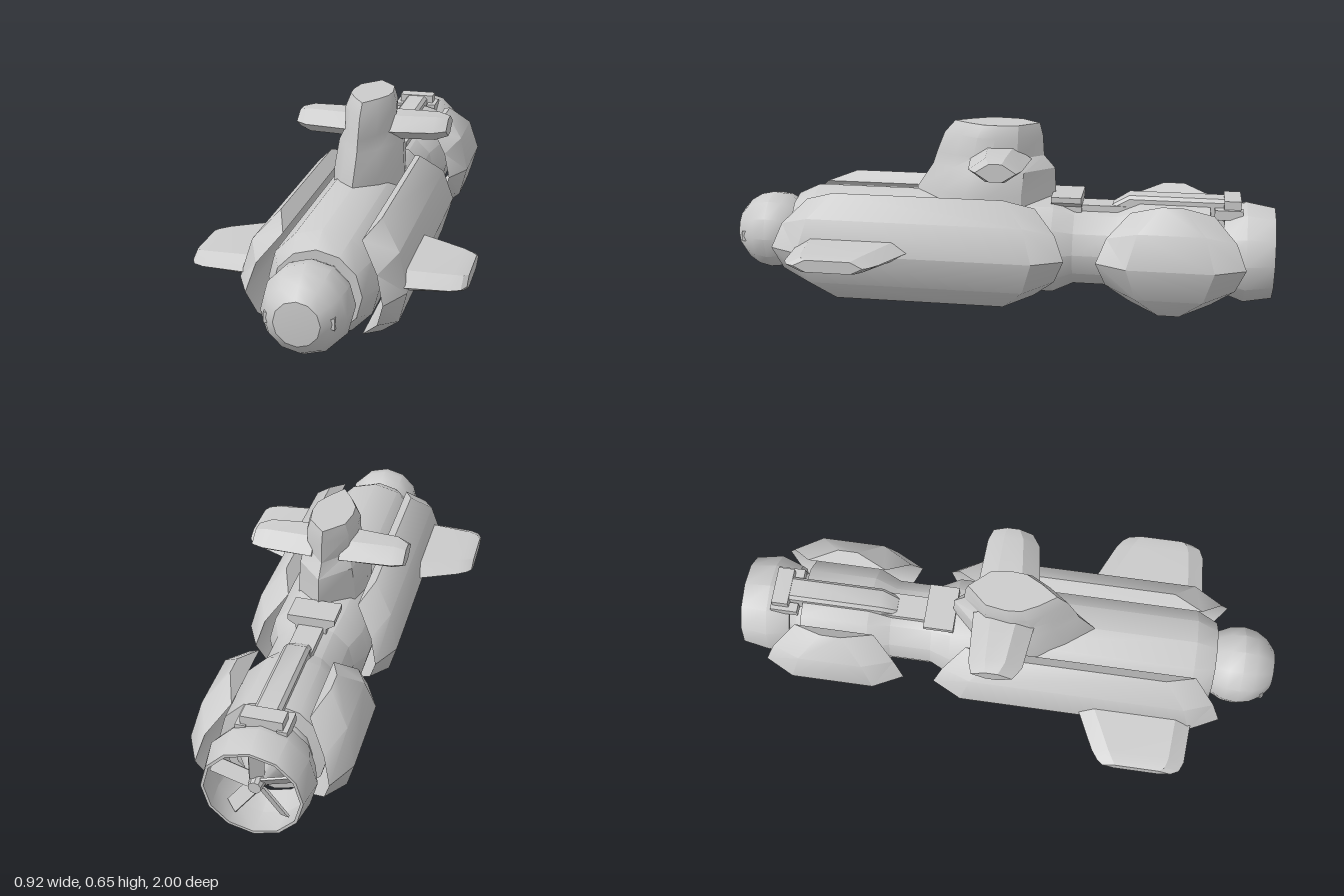
import * as THREE from 'three';
import { toCreasedNormals } from 'three/addons/utils/BufferGeometryUtils.js';

const AXIS = 0.204; // height of the hull axis
const material = new THREE.MeshStandardMaterial({ color: 0xcccccc, side: THREE.DoubleSide });

function addMesh(parent, name, geometry, crease = 0.6) {
  const mesh = new THREE.Mesh(toCreasedNormals(geometry, crease), material);
  mesh.name = name;
  parent.add(mesh);
  return mesh;
}

// Twelve-sided body turned around the hull axis; profile is [z, radius] with z rising
function turned(profile, sides = 12) {
  const points = profile.map(([z, r]) => new THREE.Vector2(r, z));
  return new THREE.LatheGeometry(points, sides).rotateX(Math.PI / 2).translate(0, AXIS, 0);
}

// Skin over equal-sized loops of [x, y, z], capped at both ends and facing outward
function loft(loops) {
  const n = loops[0].length;
  const tris = [];
  for (let s = 0; s < loops.length - 1; s++) {
    for (let i = 0; i < n; i++) {
      const j = (i + 1) % n;
      const [a, b, c, d] = [loops[s][i], loops[s][j], loops[s + 1][j], loops[s + 1][i]];
      tris.push([a, b, c], [a, c, d]);
    }
  }
  const last = loops[loops.length - 1];
  for (let i = 1; i < n - 1; i++) {
    tris.push([loops[0][0], loops[0][i + 1], loops[0][i]], [last[0], last[i], last[i + 1]]);
  }
  let volume = 0;
  const [a, b, c] = [new THREE.Vector3(), new THREE.Vector3(), new THREE.Vector3()];
  for (const t of tris) {
    volume += a.fromArray(t[0]).dot(b.fromArray(t[1]).cross(c.fromArray(t[2])));
  }
  if (volume < 0) tris.forEach((t) => t.reverse());
  const geometry = new THREE.BufferGeometry();
  geometry.setAttribute('position', new THREE.Float32BufferAttribute(tris.flat(2), 3));
  return geometry;
}

function box(parent, name, w, h, d, x, y, z) {
  return addMesh(parent, name, new THREE.BoxGeometry(w, h, d).translate(x, y, z));
}

// Curved armour shell beside the hull: each row is outer x, y, inner x, y, end inset
function sideShell(side, zFront, zBack) {
  const rows = [
    [0.17, 0.405, 0.13, 0.368, 0.115],
    [0.245, 0.325, 0.197, 0.29, 0.035],
    [0.278, 0.203, 0.223, 0.203, 0],
    [0.245, 0.083, 0.197, 0.117, 0.035],
    [0.17, 0, 0.13, 0.038, 0.115],
  ];
  return loft(rows.map(([ox, oy, ix, iy, inset]) => [
    [side * ix, iy, zFront - inset],
    [side * ox, oy, zFront - inset - 0.11],
    [side * ox, oy, zBack + inset + 0.11],
    [side * ix, iy, zBack + inset],
  ]));
}

// Faceted wing; each station is [x, y, half height, front z, back z, bevel]
function wing(side, stations) {
  return loft(stations.map(([x, y, h, f, b, e]) => [
    [f, y], [f - e, y + h], [b + e, y + h], [b, y], [b + e, y - h], [f - e, y - h],
  ].map(([z, yy]) => [side * x, yy, z])));
}

export function createModel() {
  const group = new THREE.Group();
  group.name = 'submarine';

  // Nose: a ball with a flat window
  const nose = [];
  for (let i = 0; i <= 6; i++) {
    const t = -0.95 + (i / 6) * 1.99;
    nose.push([0.867 + 0.148 * Math.sin(t), 0.148 * Math.cos(t)]);
  }
  nose.push([1, 0]);
  addMesh(group, 'nose', turned(nose));

  // Main hull with narrow waist and engine section
  addMesh(group, 'hull', turned([
    [-0.95, 0], [-0.93, 0.03], [-0.84, 0.09], [-0.8, 0.13], [-0.775, 0.135], [-0.77, 0.185],
    [-0.52, 0.186], [-0.44, 0.15], [-0.285, 0.15], [-0.21, 0.186],
    [0.69, 0.186], [0.77, 0.148], [0.77, 0],
  ]));

  // Propeller duct, open at both ends
  addMesh(group, 'duct', turned([
    [-0.82, 0.145], [-0.9, 0.17], [-1, 0.158], [-1, 0.168], [-0.9, 0.186], [-0.82, 0.157], [-0.82, 0.145],
  ]));

  // Propeller with pitched blades
  const propeller = new THREE.Group();
  propeller.name = 'propeller';
  propeller.position.set(0, AXIS, -0.94);
  group.add(propeller);
  addMesh(propeller, 'hub', new THREE.CylinderGeometry(0.03, 0.022, 0.06, 10).rotateX(Math.PI / 2));
  for (let i = 0; i < 5; i++) {
    const blade = new THREE.BoxGeometry(0.05, 0.13, 0.008).rotateY(0.6).translate(0, 0.087, 0);
    addMesh(propeller, 'blade', blade.rotateZ((i * Math.PI * 2) / 5));
  }

  // Sail: lens-shaped slices of [y, half width, front z, back z]
  const sail = [
    [0.25, 0.13, 0.32, -0.215], [0.4, 0.122, 0.31, -0.21], [0.49, 0.112, 0.25, -0.205],
    [0.535, 0.088, 0.235, -0.165], [0.61, 0.09, 0.205, -0.16], [0.655, 0.074, 0.165, -0.148],
  ];
  addMesh(group, 'sail', loft(sail.map(([y, w, f, b]) => {
    const mid = (f + b) / 2;
    const half = (f - b) / 2;
    const right = [[0.55, 0.62], [0.95, 0.25], [1, -0.1], [0.85, -0.55]];
    const at = ([x, z], s) => [s * x * w, y, mid + z * half];
    return [
      at([0, 1], 1), ...right.map((p) => at(p, 1)),
      at([0, -1], 1), ...right.map((p) => at(p, -1)).reverse(),
    ];
  })), 0.5);

  for (const side of [1, -1]) {
    const name = side > 0 ? 'left' : 'right';
    // Long and short armour shells
    addMesh(group, name + 'FrontShell', sideShell(side, 0.815, -0.262));
    addMesh(group, name + 'RearShell', sideShell(side, -0.375, -0.9));
    // Diving planes on the sail
    addMesh(group, name + 'SailPlane', wing(side, [
      [0.05, 0.532, 0.043, 0.1, -0.125, 0.065],
      [0.235, 0.532, 0.043, 0.075, -0.115, 0.06],
      [0.278, 0.532, 0.032, 0.045, -0.1, 0.05],
    ]), 0.45);
    // Large side fins
    addMesh(group, name + 'Fin', wing(side, [
      [0.24, 0.222, 0.036, 0.712, 0.28, 0.06],
      [0.41, 0.222, 0.03, 0.7, 0.36, 0.06],
      [0.445, 0.222, 0.026, 0.685, 0.385, 0.055],
      [0.46, 0.222, 0.022, 0.655, 0.405, 0.045],
    ]), 0.4);
    // Flared lamps beside the window
    addMesh(group, name + 'Lamp', loft([
      [0.07, 0.013, 0.965], [0.09, 0.013, 0.97], [0.112, 0.02, 0.97],
    ].map(([x, h, f]) => [
      [side * x, AXIS - h, f], [side * x, AXIS + h, f],
      [side * x, AXIS + h, 0.935], [side * x, AXIS - h, 0.935],
    ])));
    // Brackets linking the engine section and the duct
    box(group, name + 'DuctBracket', 0.035, 0.035, 0.1, side * 0.068, 0.36, -0.835);
  }

  // Hatch block behind the sail, flared toward its top
  addMesh(group, 'hatchBlock', loft([[0.31, 0.055], [0.36, 0.055], [0.38, 0.085], [0.4, 0.085]].map(
    ([y, w]) => [[-w, y, -0.2], [w, y, -0.2], [w, y, -0.31], [-w, y, -0.31]],
  )));

  // Dorsal spine: low rail, ramped cover and tail cap
  box(group, 'spineRail', 0.09, 0.05, 0.2, 0, 0.34, -0.39);
  addMesh(group, 'spineCover', loft([
    [-0.42, 0.368, 0.035], [-0.48, 0.405, 0.045], [-0.82, 0.405, 0.045],
  ].map(([z, top, w]) => [[-w, 0.33, z], [-w, top - 0.012, z], [-w + 0.012, top, z],
    [w - 0.012, top, z], [w, top - 0.012, z], [w, 0.33, z]])));
  box(group, 'tailCap', 0.14, 0.04, 0.06, 0, 0.388, -0.848);

  return group;
}
